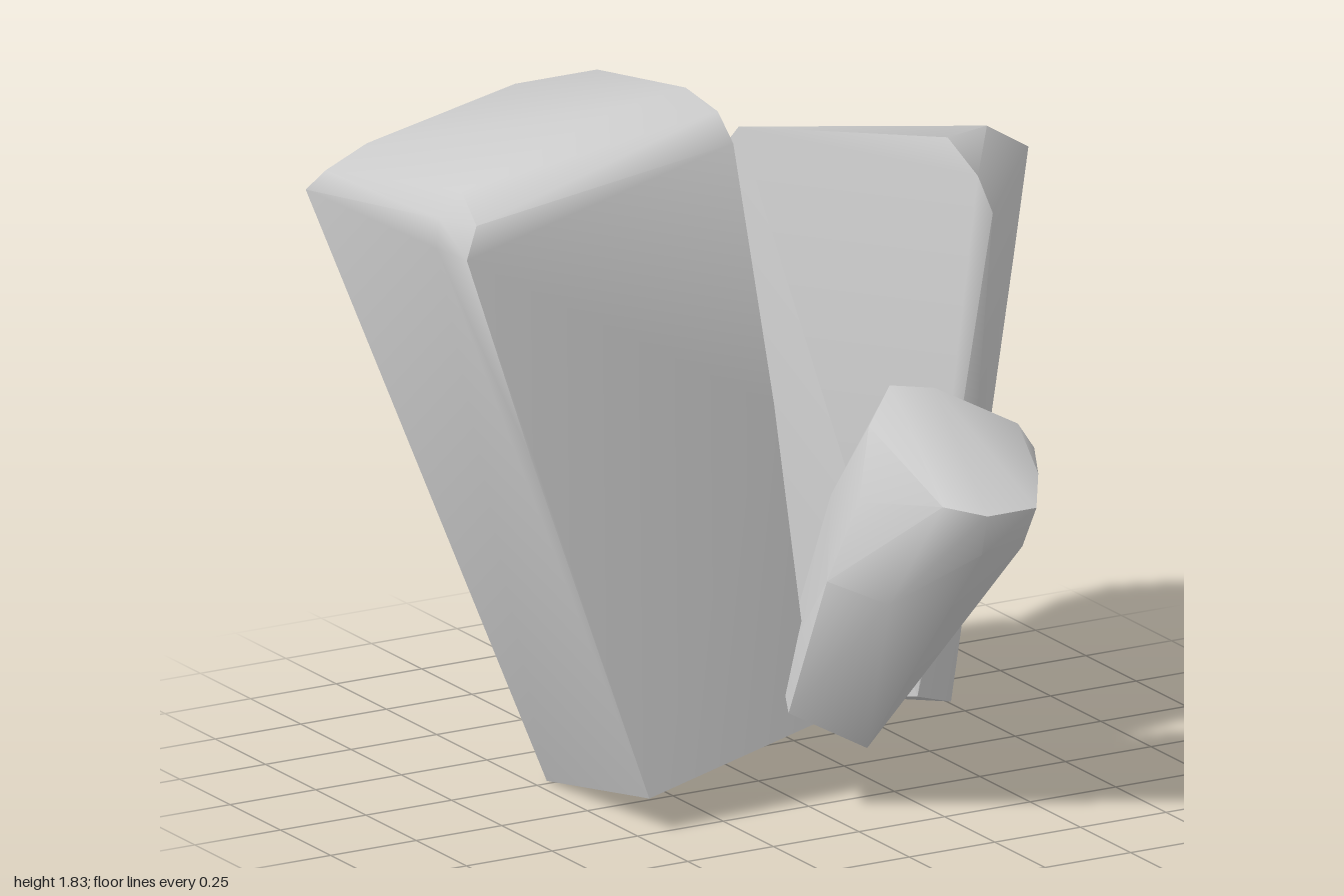
import * as THREE from 'three';
import { ConvexGeometry } from 'three/addons/geometries/ConvexGeometry.js';
import { toCreasedNormals } from 'three/addons/utils/BufferGeometryUtils.js';

const material = new THREE.MeshStandardMaterial({ color: 0xcccccc });

// One leaning rock: the hull of its base, side and crown corners
function rock(name, { base, sides, crown }) {
  const points = [...base, ...sides, ...crown].map((p) => new THREE.Vector3(...p));
  const hull = new ConvexGeometry(points);
  const mesh = new THREE.Mesh(toCreasedNormals(hull, 0.85), material);
  mesh.name = name;
  return mesh;
}

export function createModel() {
  const group = new THREE.Group();
  group.name = 'rockCluster';

  // Tall block leaning to the back right
  group.add(rock('tallRock', {
    base: [[-0.46, 0.09, 0.24], [0.04, 0.2, 0.21], [0.04, 0.12, -0.24], [-0.46, 0, -0.27]],
    sides: [
      [-0.77, 1.02, 0.18], [-0.06, 1.05, 0.18], [-0.07, 1.15, -0.45], [-0.35, 1.0, -0.57],
      [-0.97, 1.57, 0.05], [-0.94, 1.56, 0.15], [-1, 1.57, -0.55], [-0.93, 1.5, -0.63],
      [-0.77, 1.56, -0.69], [-0.45, 1.6, -0.715], [-0.13, 1.6, -0.67], [-0.1, 1.45, -0.59],
    ],
    crown: [
      [-0.97, 1.63, -0.5], [-0.95, 1.64, 0.03], [-0.88, 1.7, -0.45], [-0.88, 1.7, 0.02],
      [-0.9, 1.64, 0.13], [-0.35, 1.81, -0.08], [-0.16, 1.83, -0.09], [-0.16, 1.81, 0.07],
      [-0.15, 1.74, 0.13], [-0.4, 1.76, -0.53], [-0.16, 1.76, -0.53], [-0.15, 1.67, -0.67],
    ],
  }));

  // Middle block leaning to the back left, turned in plan
  group.add(rock('wideRock', {
    base: [[0.3, 0.25, 0.28], [0.58, 0.11, -0.03], [0.25, 0.11, -0.32], [0.03, 0.22, -0.04]],
    sides: [
      [0.04, 0.95, -0.19], [0.53, 0.9, 0.18], [0.7, 0.6, -0.21], [0.97, 1.14, -0.38],
      [0.36, 0.8, -0.62], [0.45, 1.18, -0.8], [0.82, 1.2, -0.63],
    ],
    crown: [
      [0.07, 1.53, -0.35], [0.13, 1.62, -0.32], [0.62, 1.43, 0.11], [0.6, 1.52, 0.07],
      [0.57, 1.6, -0.03], [0.82, 1.53, -0.26], [1, 1.42, -0.36], [0.87, 1.36, -0.61],
      [0.68, 1.38, -0.74], [0.45, 1.38, -0.81], [0.48, 1.42, -0.77],
    ],
  }));

  // Small block leaning forward
  group.add(rock('smallRock', {
    base: [[-0.1, 0.28, 0.32], [0.1, 0.17, 0.37], [0.25, 0.24, 0.2], [0.04, 0.3, 0.04]],
    sides: [
      [-0.07, 0.66, 0.46], [0.03, 0.62, 0.6], [0.2, 0.77, 0.77], [0.36, 0.75, 0.7],
      [0.36, 0.5, 0.31], [0.5, 0.84, 0.48], [0.1, 0.79, 0.19],
    ],
    crown: [
      [0, 0.87, 0.5], [0.07, 1.04, 0.43], [0.16, 1.12, 0.38], [0.28, 1.1, 0.4],
      [0.25, 1.05, 0.3], [0.47, 1, 0.49], [0.5, 0.94, 0.52], [0.43, 0.92, 0.66],
      [0.36, 0.87, 0.77], [0.2, 0.88, 0.8], [0.11, 0.9, 0.73],
    ],
  }));

  return group;
}
